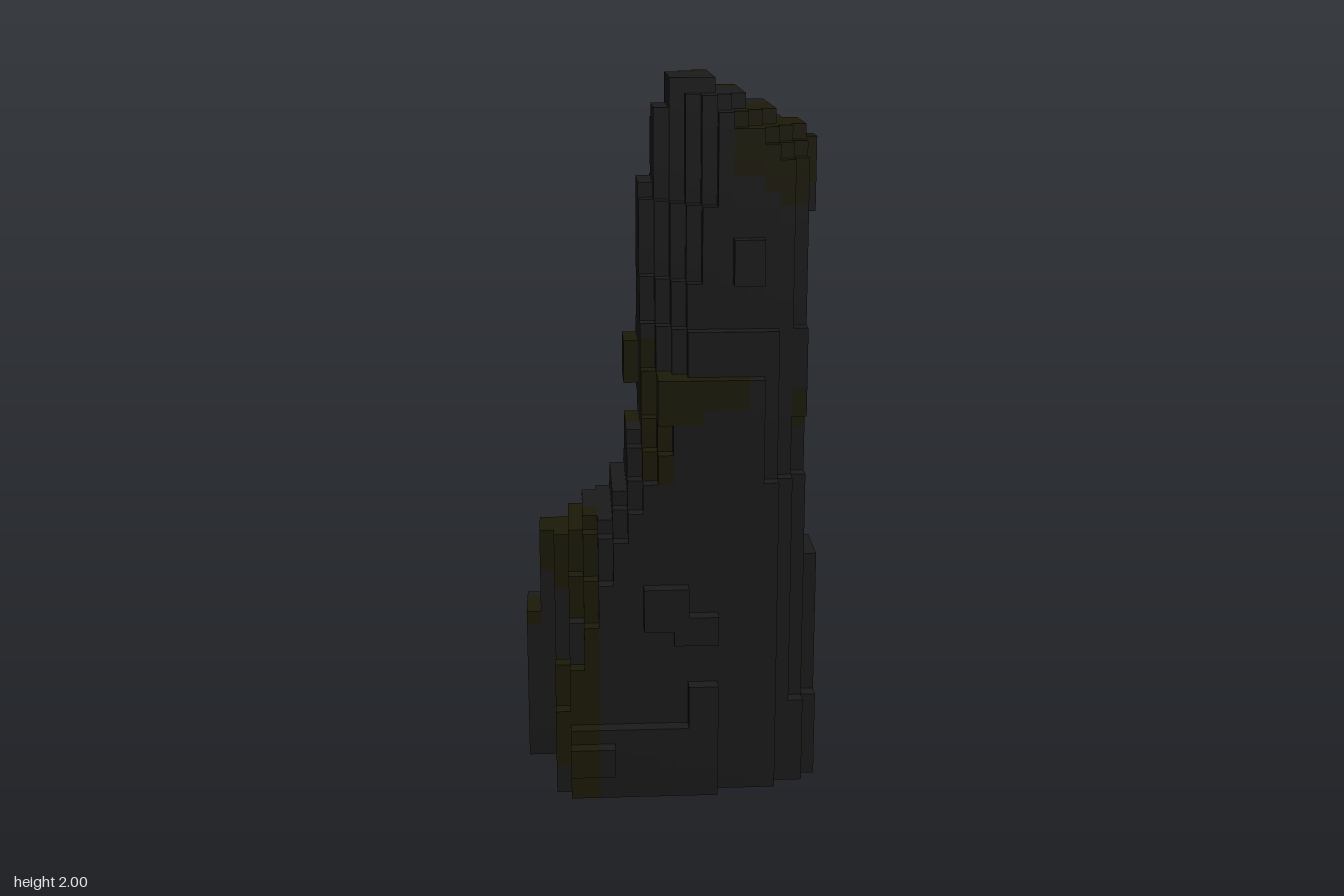
import * as THREE from 'three';

const V = 1 / 24; // edge of one voxel
const NX = 10, NY = 48, NZ = 8; // half width, height, half depth in voxels

// Base footprint: [xMin, xMax] for each z row, back to front
const FOOT = [[-5, 0], [-7, 7], [-8, 8], [-9, 8], [-10, 9], [-10, 10], [-10, 10], [-10, 10],
  [-8, 10], [-7, 10], [-7, 10], [-7, 10], [-8, 9], [-8, 7], [-7, 3], [-7, -4]];

// Step profiles over height: [row limit, value]
const LEFT = [[11, -10], [17, -9], [18, -7], [19, -6], [21, -4], [25, -3], [27, -2], [30, -3], [41, -2], [46, -1], [48, 0]];
const RIGHT = [[16, 10], [39, 9], [44, 10], [45, 9], [46, 7], [47, 5], [48, 3]];
const FRONT = [[2, 7], [4, 8], [5, 7], [29, 6], [32, 5], [46, 4], [47, 3], [48, 1]];
// Diagonal corner cuts
const FRONT_LEFT = [[2, 14], [4, 15], [6, 14], [9, 13], [12, 12], [15, 11], [18, 10], [20, 9], [22, 8],
  [24, 7], [26, 6], [29, 5], [32, 4], [35, 3], [40, 2], [48, 1]];
const BACK_LEFT = [[13, 14], [15, 12.6], [16, 11.6], [17, 11], [18, 10.2], [19, 9.2], [20, 8.4], [21, 7.4],
  [22, 6], [25, 5], [26, 6], [31, 8], [41, 7], [45, 6], [48, 5]];
const FRONT_RIGHT = [[6, 14], [22, 13], [48, 12]];
const at = (profile, y) => profile.find(([limit]) => y < limit)[1];

// Boxes as [x0, x1, y0, y1, z0, z1], upper ends excluded
const inside = (boxes, x, y, z) => boxes.some(([a, b, c, d, e, f]) =>
  x >= a && x < b && y >= c && y < d && z >= e && z < f);

// Small lumps standing proud of the faces
const LUMPS = [
  [-2, 1, 12, 15, 6, 7], [0, 3, 11, 13, 6, 7], [1, 3, 5, 8, 6, 7],
  [4, 6, 35, 38, 4, 5], [-1, 2, 26, 29, 4, 6],
  [8, 9, 26, 32, 2, 4],
];
// Moss patches
const MOSS = [
  [5, 10, 42, 46, -2, 5], [4, 10, 42, 46, 0, 4], [6, 10, 41, 46, -4, 5], [7, 10, 40, 42, -1, 4],
  [0, 5, 46, 48, -7, -5], [-1, 0, 45, 47, -7, -5],
  [-3, -2, 23, 30, -6, 1], [-3, -1, 26, 31, 1, 6], [-2, 0, 22, 26, 2, 6],
  [-1, 2, 26, 29, 2, 6], [2, 5, 27, 29, 3, 6],
  [8, 9, 28, 32, 0, 3], [8, 9, 25, 28, 2, 4],
  [-10, -9, 10, 11, -3, 0], [-9, -5, 14, 18, -3, 1], [-9, -6, 13, 17, 0, 4], [-7, -5, 12, 19, 1, 5],
  [-8, -5, 2, 5, 4, 8], [-8, -5, 5, 9, 3, 8], [-7, -5, 0, 2, 6, 8], [-6, -5, 9, 14, 4, 7],
];

function solid(x, y, z) {
  if (y < 0 || y >= NY || z < -NZ || z >= NZ) return false;
  if (inside(LUMPS, x, y, z)) return true;
  const [x0, x1] = FOOT[z + NZ];
  if (x < Math.max(x0, at(LEFT, y)) || x >= Math.min(x1, at(RIGHT, y)) || z >= at(FRONT, y)) return false;
  if (z === -NZ) return y < 4 && (x < -3 || x === -1); // feet at the back
  if (x === 9 && (y < 16 ? z < -1 : z >= -1)) return false; // side bulges
  if (x === -3 && y >= 27 && (z < -5 || z >= -2)) return false; // knob above the ledge
  if (y < 10 && x - z + 1 > 13) return false; // undercut back corner
  const skew = y < 21 ? 0.2 : 0; // the ledge falls towards the back
  if ((skew - 1) * x - (1 + skew) * z > at(BACK_LEFT, y)) return false;
  if (z - x + 1 > at(FRONT_LEFT, y) || x + z + 2 > at(FRONT_RIGHT, y)) return false;
  return y <= 49 - 0.55 * (x + z + 1); // sloping summit
}

// Emit every exposed voxel face into the position list of its colour
function buildFaces() {
  const lists = { rock: [], moss: [] };
  for (let x = -NX; x < NX; x++) for (let y = 0; y < NY; y++) for (let z = -NZ; z < NZ; z++) {
    if (!solid(x, y, z)) continue;
    const out = inside(MOSS, x, y, z) ? lists.moss : lists.rock;
    for (let axis = 0; axis < 3; axis++) for (const sign of [-1, 1]) {
      const n = [x, y, z];
      n[axis] += sign;
      if (solid(...n)) continue;
      const u = (axis + 1) % 3, v = (axis + 2) % 3;
      const corner = (a, b) => {
        const p = [x, y, z];
        if (sign > 0) p[axis] += 1;
        p[u] += a;
        p[v] += b;
        return p.map((c) => c * V);
      };
      const q = [corner(0, 0), corner(1, 0), corner(1, 1), corner(0, 1)];
      if (sign < 0) q.reverse();
      for (const i of [0, 1, 2, 0, 2, 3]) out.push(...q[i]);
    }
  }
  return lists;
}

export function createModel() {
  const materials = {
    rock: new THREE.MeshStandardMaterial({ color: 0x1b1b1b }),
    moss: new THREE.MeshStandardMaterial({ color: 0x1c1a07 }),
  };
  materials.rock.name = 'dark rock';
  materials.moss.name = 'dark moss';

  const group = new THREE.Group();
  group.name = 'rockPillar';
  for (const [name, positions] of Object.entries(buildFaces())) {
    const geometry = new THREE.BufferGeometry();
    geometry.setAttribute('position', new THREE.Float32BufferAttribute(positions, 3));
    geometry.computeVertexNormals();
    const mesh = new THREE.Mesh(geometry, materials[name]);
    mesh.name = name;
    group.add(mesh);
  }
  return group;
}
